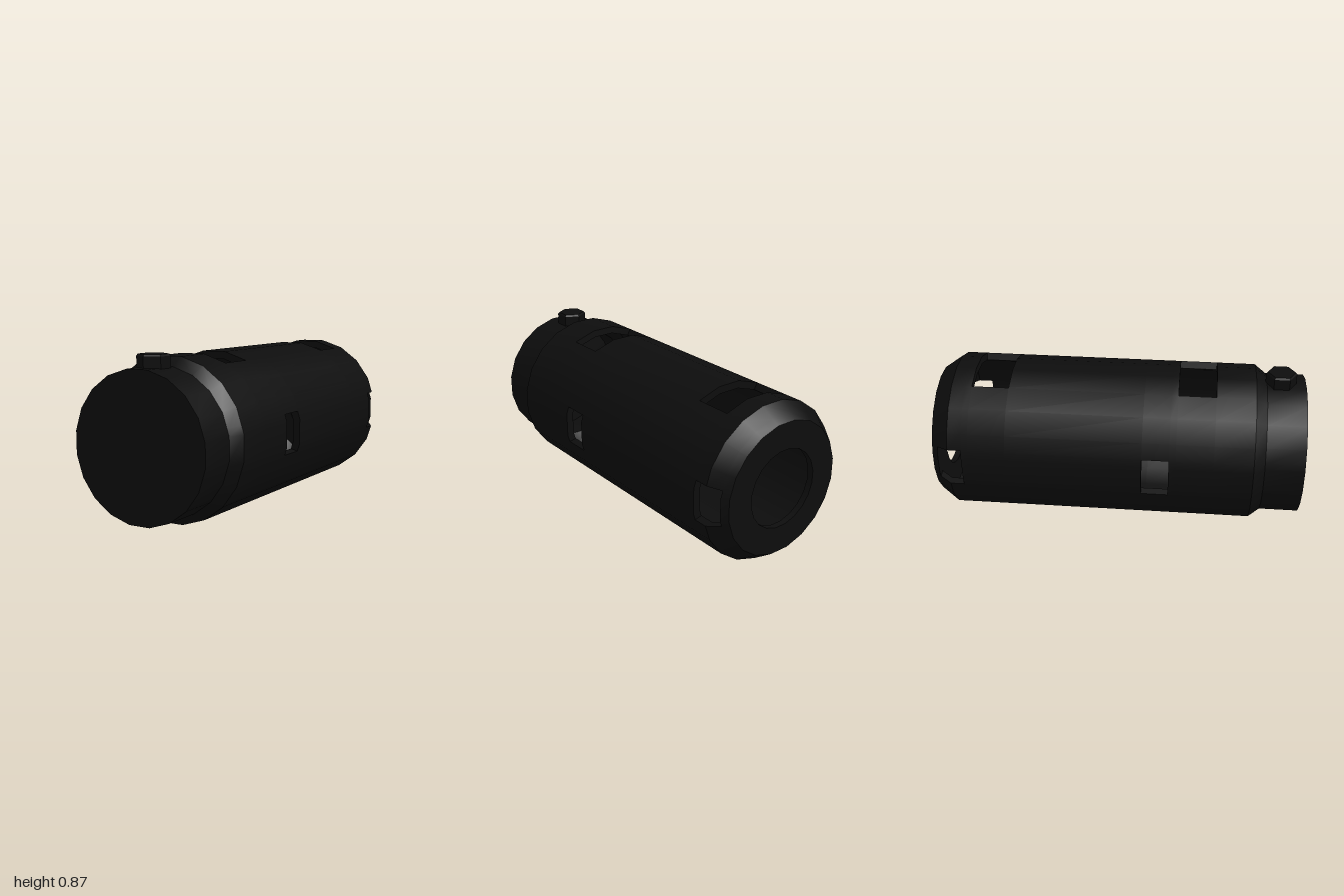
import * as THREE from 'three';
import { toCreasedNormals } from 'three/addons/utils/BufferGeometryUtils.js';

const CENTRE_Y = 0.425, WALL = 0.04;
const RAD = Math.PI / 180;

// Flat-to-centre distance of the casing at depth z
const steps = [[1, 0.379], [0.79, 0.379], [0.73, 0.425], [-0.9, 0.425], [-1, 0.355]];
function apothem(z) {
  for (let i = 1; i < steps.length; i++) {
    const [z0, r0] = steps[i - 1], [z1, r1] = steps[i];
    if (z >= z1) return r0 + (r1 - r0) * (z0 - z) / (z0 - z1);
  }
  return 0.355;
}

// Windows cut in the casing: centre angle, half angle, front z, back z
const windows = [];
for (const [z0, z1] of [[0.52, 0.32], [-0.59, -0.79]]) windows.push([90, 27, z0, z1]);
for (const [z0, z1] of [[0.285, 0.14], [-0.825, -0.965]]) {
  windows.push([0, 14.7, z0, z1], [180, 14.7, z0, z1]);
}
const inWindow = (deg, z) => windows.some(([c, h, z0, z1]) => {
  const d = Math.abs(((deg - c + 540) % 360) - 180);
  return d < h && z < z0 && z > z1;
});

// Point on a twenty-sided ring
function point(deg, r, z) {
  const off = deg - Math.round(deg / 18) * 18;
  const R = r / Math.cos(off * RAD);
  return new THREE.Vector3(R * Math.cos(deg * RAD), CENTRE_Y + R * Math.sin(deg * RAD), z);
}

function createCasing() {
  const pos = [];
  const tri = (a, b, c) => {
    const n = b.clone().sub(a).cross(c.clone().sub(a));
    if (n.length() > 1e-9) for (const p of [a, b, c]) pos.push(p.x, p.y, p.z);
  };
  const quad = (a, b, c, d) => { tri(a, b, c); tri(a, c, d); };

  // Angles at the ring corners and the window edges
  const angles = [-14.7, 14.7, 165.3, 194.7];
  for (let k = 0; k < 20; k++) angles.push(-9 + 18 * k);
  angles.sort((a, b) => a - b);
  angles.push(angles[0] + 360);

  // Closed wall profile: front centre, outside, rear opening, inside
  const cuts = windows.flatMap((w) => [w[2], w[3]]);
  const zs = [...new Set([0.79, 0.73, -0.9, -0.965, ...cuts])].sort((a, b) => b - a);
  const outer = [1, ...zs, -1].map((z) => [apothem(z), z]);
  const inner = [0.96, ...zs].reverse().map((z) => [apothem(z) - WALL, z]);
  const profile = [[0, 1], ...outer, [0.21, -1], [0.21, -0.965], ...inner, [0, 0.96]];

  for (let i = 0; i < angles.length - 1; i++) {
    const a = angles[i], b = angles[i + 1];
    for (let j = 0; j < profile.length - 1; j++) {
      const [r0, z0] = profile[j], [r1, z1] = profile[j + 1];
      if (z0 !== z1 && r0 > 0.25 && inWindow((a + b) / 2, (z0 + z1) / 2)) continue;
      quad(point(a, r0, z0), point(a, r1, z1), point(b, r1, z1), point(b, r0, z0));
    }
  }

  // Wall thickness shown around each window
  const out = (deg, z) => point(deg, apothem(z), z);
  const ins = (deg, z) => point(deg, apothem(z) - WALL, z);
  for (const [c, h, z0, z1] of windows) {
    const zl = zs.filter((z) => z <= z0 && z >= z1);
    for (let i = 0; i < zl.length - 1; i++) {
      const p = zl[i], q = zl[i + 1], lo = c - h, hi = c + h;
      quad(out(lo, p), out(lo, q), ins(lo, q), ins(lo, p));
      quad(ins(hi, p), ins(hi, q), out(hi, q), out(hi, p));
    }
    const ring = [c - h, c + h];
    for (let k = -1; k < 21; k++) {
      const d = -9 + 18 * k;
      if (d > c - h + 0.01 && d < c + h - 0.01) ring.push(d);
    }
    ring.sort((a, b) => a - b);
    for (let i = 0; i < ring.length - 1; i++) {
      const a = ring[i], b = ring[i + 1];
      quad(out(b, z0), out(a, z0), ins(a, z0), ins(b, z0));
      quad(out(a, z1), out(b, z1), ins(b, z1), ins(a, z1));
    }
  }

  const geo = new THREE.BufferGeometry();
  geo.setAttribute('position', new THREE.Float32BufferAttribute(pos, 3));
  return toCreasedNormals(geo, 0.5);
}

export function createModel() {
  const group = new THREE.Group();
  const black = new THREE.MeshStandardMaterial({ color: 0x0d0d0d });
  black.name = 'black';

  // Hollow casing with windows and a rear opening
  const casing = new THREE.Mesh(createCasing(), black);
  casing.name = 'casing';
  group.add(casing);

  // Six-sided bolt with a chamfered top, on the front neck
  const boltProfile = [[0, 0.78], [0.083, 0.78], [0.083, 0.86], [0.075, 0.87], [0, 0.87]]
    .map(([r, y]) => new THREE.Vector2(r, y));
  const bolt = new THREE.Mesh(toCreasedNormals(new THREE.LatheGeometry(boltProfile, 6), 0.5), black);
  bolt.position.z = 0.865;
  bolt.name = 'bolt';
  group.add(bolt);

  return group;
}
